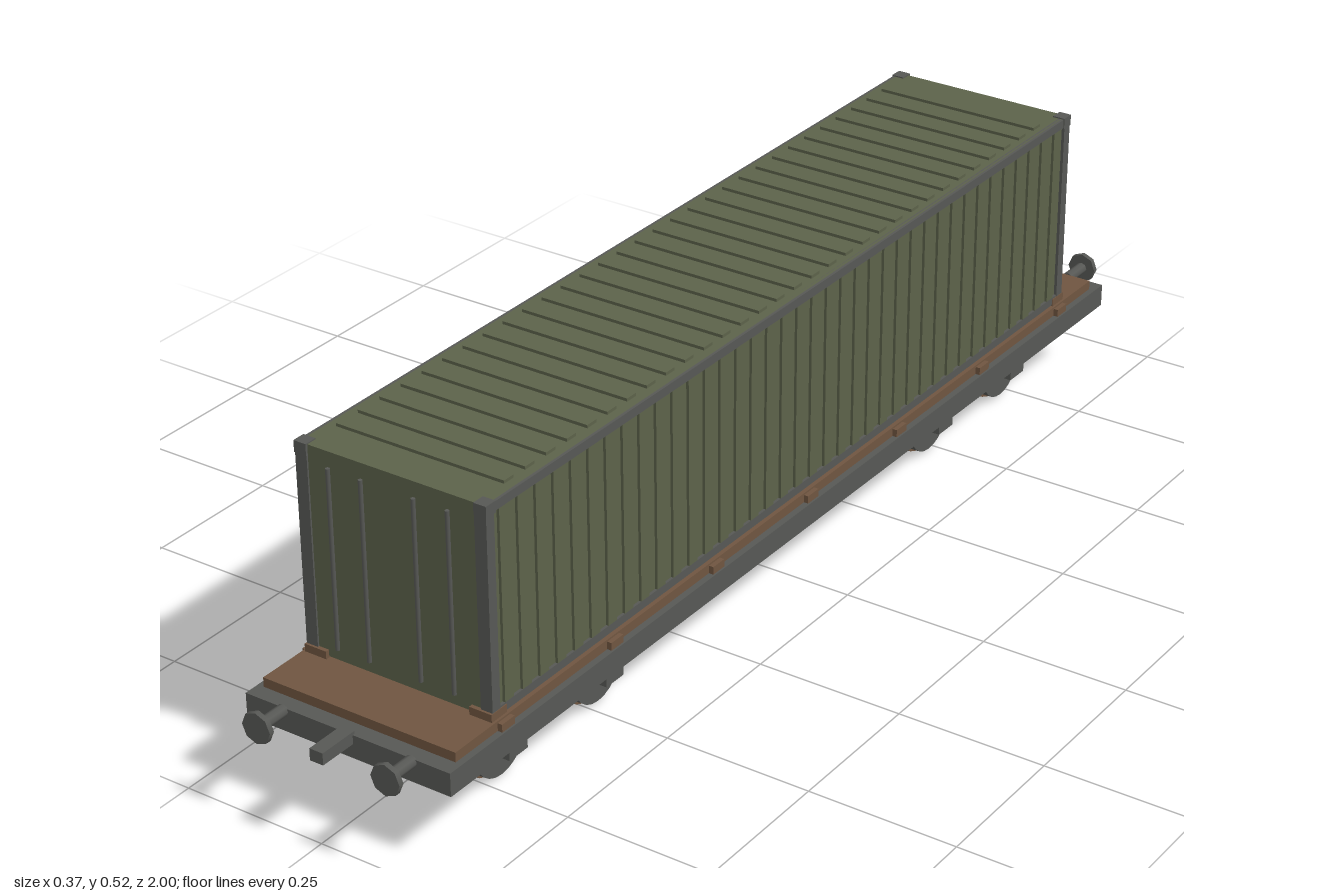
import * as THREE from 'three';

const material = (name, color) => {
  const m = new THREE.MeshStandardMaterial({ color });
  m.name = name;
  return m;
};

export function createModel() {
  const green = material('olive green', 0x5c624a);
  const grey = material('iron grey', 0x575855);
  const brown = material('rust brown', 0x6f5540);
  const model = new THREE.Group();
  model.name = 'containerWagon';

  const add = (name, geometry, mat, x, y, z, parent = model) => {
    const mesh = new THREE.Mesh(geometry, mat);
    mesh.name = name;
    mesh.position.set(x, y, z);
    parent.add(mesh);
    return mesh;
  };
  // Box given by its centre in x and z and its bottom and top in y
  const box = (name, mat, w, y0, y1, d, x, z, parent) =>
    add(name, new THREE.BoxGeometry(w, y1 - y0, d), mat, x, (y0 + y1) / 2, z, parent);
  const cylX = (r, length, sides) => new THREE.CylinderGeometry(r, r, length, sides).rotateZ(Math.PI / 2);
  const cylZ = (r, length, sides) => new THREE.CylinderGeometry(r, r, length, sides).rotateX(Math.PI / 2);

  // Underframe and wooden deck
  box('underframe', grey, 0.372, 0.113, 0.152, 1.868, 0, 0);
  box('deck', brown, 0.35, 0.152, 0.168, 1.814, 0, 0);
  for (const s of [-1, 1]) {
    for (let i = -3; i <= 3; i++) {
      box('stakePocket', brown, 0.012, 0.152, 0.165, 0.03, s * 0.177, i * 0.265);
    }
  }

  // Buffers and couplers at both ends
  for (const end of [-1, 1]) {
    box('coupler', grey, 0.024, 0.137, 0.157, 0.07, 0, end * 0.965);
    for (const s of [-1, 1]) {
      add('bufferShaft', cylZ(0.01, 0.055, 8), grey, s * 0.117, 0.147, end * 0.96);
      add('bufferHead', cylZ(0.026, 0.009, 8), grey, s * 0.117, 0.147, end * 0.988);
    }
  }

  // Two bogies, each with two wheelsets and side frames
  for (const end of [-1, 1]) {
    const bogie = new THREE.Group();
    bogie.name = 'bogie';
    bogie.position.z = end * 0.6;
    model.add(bogie);
    for (const z of [-0.12, 0.12]) {
      add('axle', cylX(0.01, 0.25, 10), grey, 0, 0.066, z, bogie);
      for (const s of [-1, 1]) {
        add('wheel', cylX(0.0605, 0.018, 24), grey, s * 0.1, 0.065, z, bogie);
        add('wheelFlange', cylX(0.065, 0.003, 24), brown, s * 0.0905, 0.065, z, bogie);
        box('axleBox', grey, 0.022, 0.051, 0.072, 0.044, s * 0.13, z, bogie);
      }
    }
    for (const s of [-1, 1]) {
      box('sideFrame', grey, 0.024, 0.072, 0.102, 0.335, s * 0.13, 0, bogie);
    }
  }

  // Air tank under the frame
  add('airTank', cylZ(0.021, 0.13, 16), brown, -0.067, 0.093, 0);

  // Container shell
  const container = new THREE.Group();
  container.name = 'container';
  model.add(container);
  box('containerBody', green, 0.33, 0.17, 0.515, 1.622, 0, 0, container);
  for (const s of [-1, 1]) {
    box('topRail', grey, 0.01, 0.5, 0.515, 1.62, s * 0.1645, 0, container);
    box('bottomRail', grey, 0.01, 0.17, 0.184, 1.62, s * 0.1645, 0, container);
    for (const end of [-1, 1]) {
      box('cornerPost', grey, 0.021, 0.17, 0.516, 0.018, s * 0.1595, end * 0.805, container);
      box('cornerFitting', grey, 0.022, 0.498, 0.517, 0.022, s * 0.16, end * 0.804, container);
      box('cornerLock', brown, 0.04, 0.168, 0.181, 0.036, s * 0.151, end * 0.8, container);
    }
    // Side wall corrugation
    for (let i = 0; i < 38; i++) {
      box('sideRib', green, 0.006, 0.184, 0.5, 0.021, s * 0.1665, (i - 18.5) * 0.0418, container);
    }
  }

  // Roof corrugation
  for (let i = -15; i <= 15; i++) {
    box('roofRib', green, 0.3, 0.513, 0.52, 0.022, 0, i * 0.049, container);
  }

  // Locking bars on the front doors
  for (const x of [-0.107, -0.048, 0.046, 0.106]) {
    add('lockingBar', new THREE.CylinderGeometry(0.0035, 0.0035, 0.3, 8), grey, x, 0.343, 0.819, container);
  }
  return model;
}
